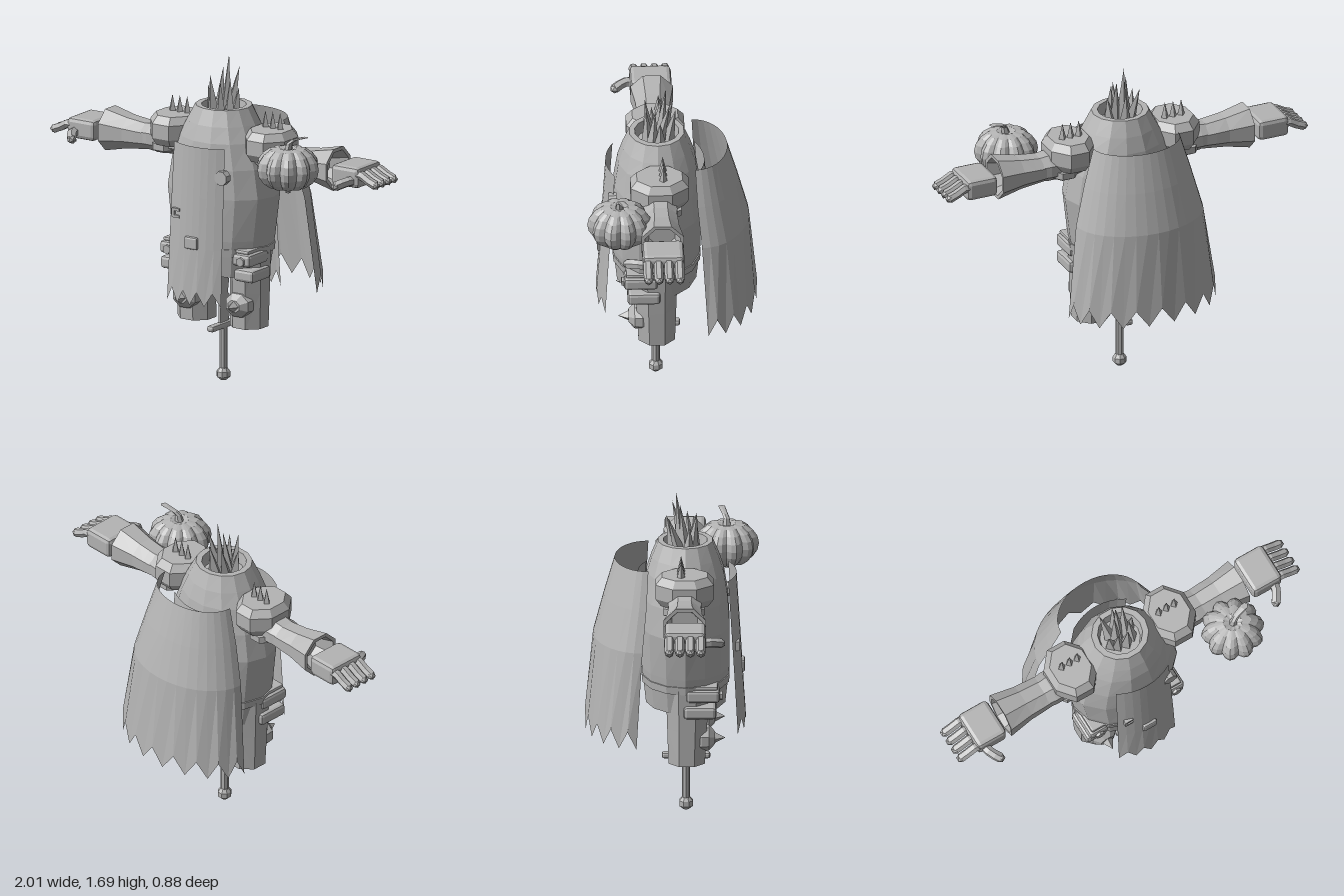
import * as THREE from 'three';
import { RoundedBoxGeometry } from 'three/addons/geometries/RoundedBoxGeometry.js';

const stone = new THREE.MeshStandardMaterial({ color: 0xb4b4b4, flatShading: true, side: THREE.DoubleSide });
stone.name = 'plain grey';

function add(parent, name, geometry, x = 0, y = 0, z = 0) {
  const mesh = new THREE.Mesh(geometry, stone);
  mesh.name = name;
  mesh.position.set(x, y, z);
  parent.add(mesh);
  return mesh;
}

// Loft of elliptical rings, rows = [y, rx, rz, cx, cz] from bottom to top, ends closed
function rings(rows, sides = 8) {
  const pos = [], index = [], k = 1 / Math.cos(Math.PI / sides);
  const first = rows[0], last = rows[rows.length - 1];
  const cap = r => [r[0], 0, 0, r[3], r[4]];
  const all = [cap(first), ...rows, cap(last)];
  all.forEach(([y, rx, rz, cx = 0, cz = 0], j) => {
    for (let i = 0; i < sides; i++) {
      const a = (i + 0.5) / sides * Math.PI * 2;
      pos.push(cx + rx * k * Math.sin(a), y, cz + rz * k * Math.cos(a));
      if (j === all.length - 1) continue;
      const p = j * sides + i, q = j * sides + (i + 1) % sides;
      index.push(p, q, q + sides, p, q + sides, p + sides);
    }
  });
  const g = new THREE.BufferGeometry();
  g.setAttribute('position', new THREE.Float32BufferAttribute(pos, 3));
  g.setIndex(index);
  g.computeVertexNormals();
  return g;
}

// The same loft laid along x
const ringsX = (rows, sides) => rings(rows, sides).rotateZ(-Math.PI / 2);

// Thin cloth: place(u, v) gives a point, u and v run 0..1
function cloth(place, nu, nv) {
  const g = new THREE.PlaneGeometry(1, 1, nu, nv), p = g.attributes.position;
  for (let i = 0; i < p.count; i++) {
    const col = i % (nu + 1);
    p.setXYZ(i, ...place(col / nu, Math.floor(i / (nu + 1)) / nv, col));
  }
  g.computeVertexNormals();
  return g;
}

// Spike from a base point to a tip
function spike(parent, name, base, tip, radius, sides = 4) {
  const a = new THREE.Vector3(...base), d = new THREE.Vector3(...tip).sub(a), len = d.length();
  const m = add(parent, name, new THREE.ConeGeometry(radius, len, sides).translate(0, len / 2, 0), ...base);
  m.quaternion.setFromUnitVectors(new THREE.Vector3(0, 1, 0), d.normalize());
}

// Squared finger bent along a list of points
function finger(parent, name, points, radius) {
  const curve = new THREE.CatmullRomCurve3(points.map(p => new THREE.Vector3(...p)));
  add(parent, name, new THREE.TubeGeometry(curve, 3, radius, 6));
  const end = points[points.length - 1];
  add(parent, name + 'Tip', new THREE.IcosahedronGeometry(radius * 0.95), end[0], end[1], end[2]);
}

// Everything that exists on both sides
function buildSide(name) {
  const s = new THREE.Group();
  s.name = name;
  // shoulder
  add(s, 'shoulderPad', rings([[1.2, 0.1, 0.12], [1.24, 0.122, 0.147], [1.315, 0.122, 0.147], [1.353, 0.095, 0.115]]), 0.29, 0, 0.063);
  add(s, 'lowerShoulderPlate', rings([[1.15, 0.06, 0.08], [1.165, 0.08, 0.105], [1.2, 0.08, 0.105]]), 0.335, 0, 0.06);
  for (const x of [0.24, 0.285, 0.33]) spike(s, 'shoulderSpike', [x, 1.345, 0.045], [x, 1.437, 0.045], 0.022);
  // arm and flared cuff with a hollow mouth
  add(s, 'upperArm', ringsX([[0.2, 0.07, 0.08], [0.42, 0.07, 0.085], [0.5, 0.06, 0.075]]), 0, 1.21, 0.063);
  add(s, 'cuff', ringsX([[0.42, 0.063, 0.08], [0.5, 0.072, 0.085], [0.57, 0.08, 0.088], [0.7, 0.108, 0.108],
    [0.7, 0.09, 0.09], [0.6, 0.06, 0.065]]), 0, 1.207, 0.063);
  // hand
  add(s, 'palm', new RoundedBoxGeometry(0.17, 0.108, 0.21, 1, 0.022), 0.81, 1.203, 0.065);
  for (let i = 0; i < 4; i++) {
    const z = -0.014 + i * 0.053;
    finger(s, 'finger', [[0.86, 1.218, z], [0.92, 1.213, z], [0.95, 1.19, z], [0.985, 1.178, z]], 0.024);
  }
  finger(s, 'thumb', [[0.85, 1.185, 0.16], [0.84, 1.185, 0.2], [0.81, 1.17, 0.245]], 0.026);
  // leg
  add(s, 'leg', rings([[0.31, 0.092, 0.092, 0.16, 0.073], [0.5, 0.094, 0.1, 0.165, 0.075], [0.72, 0.096, 0.11, 0.17, 0.078]]));
  // knee guard
  add(s, 'kneeGuard', rings([[0.1, 0.06, 0.055], [0.15, 0.072, 0.064], [0.185, 0.068, 0.06], [0.215, 0.035, 0.03]])
    .rotateX(Math.PI / 2), 0.162, 0.437, 0);
  spike(s, 'kneeSpike', [0.162, 0.437, 0.205], [0.162, 0.437, 0.268], 0.035);
  // thigh pouches
  add(s, 'upperPouch', new RoundedBoxGeometry(0.11, 0.065, 0.17, 1, 0.016), 0.222, 0.69, 0.155);
  add(s, 'pouchFlap', new RoundedBoxGeometry(0.095, 0.02, 0.15, 1, 0.008), 0.215, 0.732, 0.155);
  add(s, 'lowerPouch', new RoundedBoxGeometry(0.12, 0.065, 0.165, 1, 0.016), 0.225, 0.605, 0.14);
  add(s, 'pouchButton', new THREE.CylinderGeometry(0.024, 0.024, 0.02, 6).rotateX(Math.PI / 2), 0.225, 0.685, 0.243);
  return s;
}

export function createModel() {
  const model = new THREE.Group();
  model.name = 'figure';

  // robe body with an open collar
  add(model, 'body', rings([
    [0.59, 0.24, 0.2, 0, 0.068], [0.73, 0.262, 0.215, 0, 0.068], [0.78, 0.27, 0.22, 0, 0.068],
    [1.0, 0.298, 0.225, 0, 0.065], [1.15, 0.272, 0.215, 0, 0.066], [1.28, 0.225, 0.195, 0, 0.066],
    [1.36, 0.185, 0.17, 0, 0.066], [1.44, 0.143, 0.137, 0, 0.066], [1.44, 0.112, 0.11, 0, 0.066],
    [1.38, 0.1, 0.1, 0, 0.066]], 14));
  add(model, 'belt', rings([[0.7, 0.266, 0.218], [0.74, 0.27, 0.222]], 14), 0, 0, 0.068);

  // crown of jagged spikes, [base x, base z, tip x, tip y, tip z]
  for (const [x, z, tx, ty, tz] of [
    [0, 0.05, 0, 1.69, 0.02], [-0.03, 0.07, -0.02, 1.63, 0.04], [0.03, 0.06, 0.05, 1.63, 0.0],
    [-0.04, 0.04, -0.07, 1.58, -0.02], [0.05, 0.09, 0.045, 1.58, 0.075], [-0.035, 0.1, -0.045, 1.6, 0.125],
    [0.01, 0.11, 0.015, 1.57, 0.12], [0.06, 0.05, 0.08, 1.53, 0.05], [-0.06, 0.08, -0.08, 1.53, 0.09],
    [0, 0.01, 0.01, 1.57, -0.03]]) spike(model, 'crownSpike', [x, 1.38, z], [tx, ty, tz], 0.034);

  // cape: half ellipses widening downward, ragged hem
  const cape = [[1.35, 0.235, -0.29, -0.12], [1.16, 0.29, -0.345, -0.13], [0.95, 0.345, -0.4, -0.15], [0.5, 0.4, -0.44, -0.18]];
  add(model, 'cape', cloth((u, v, col) => {
    const row = Math.round(v * 3), [y, rx, back, front] = cape[row], a = Math.PI * u;
    const hem = row === 3 ? (col % 2 ? 0.045 : -0.045) : 0;
    return [rx * Math.cos(a), y + hem, front + (back - front) * Math.sin(a)];
  }, 18, 3));

  // front and back hanging panels with ragged hems
  const panel = (top, bottom, bow) => cloth((u, v, col) => {
    const x = u * 2 - 1, hem = v === 1 ? (col % 2 ? 0.035 : -0.035) : 0;
    return [x * (0.155 + 0.01 * v), 1.27 - 0.78 * v + hem, top + (bottom - top) * v - bow * x * x];
  }, 8, 3);
  add(model, 'frontPanel', panel(0.325, 0.373, 0.042));
  add(model, 'backPanel', panel(-0.175, -0.245, -0.045));

  // fittings on the front panel
  add(model, 'buckle', new RoundedBoxGeometry(0.08, 0.065, 0.025, 1, 0.01), 0, 0.775, 0.355);
  add(model, 'clasp', new THREE.CylinderGeometry(0.038, 0.038, 0.04, 8).rotateX(Math.PI / 2).rotateZ(Math.PI / 8), 0.15, 1.125, 0.295);
  for (const y of [0.895, 0.93]) add(model, 'hook', new THREE.BoxGeometry(0.045, 0.014, 0.02), -0.108, y, 0.33);
  add(model, 'hookBar', new THREE.BoxGeometry(0.014, 0.045, 0.02), -0.125, 0.912, 0.33);

  // both sides
  model.add(buildSide('leftSide'));
  const right = buildSide('rightSide');
  right.scale.x = -1;
  model.add(right);

  // ribbed pumpkin
  const pumpkin = new THREE.Group();
  pumpkin.name = 'pumpkin';
  pumpkin.position.set(0.537, 1.232, 0.275);
  const gourd = new THREE.SphereGeometry(1, 40, 10), p = gourd.attributes.position;
  for (let i = 0; i < p.count; i++) {
    const x = p.getX(i), y = p.getY(i), z = p.getZ(i);
    const rib = 0.84 + 0.16 * Math.abs(Math.sin(5 * Math.atan2(z, x)));
    const dip = 0.03 * Math.exp(-(x * x + z * z) * 12) * Math.sign(y);
    p.setXYZ(i, x * rib * 0.163, y * 0.121 - dip, z * rib * 0.163);
  }
  add(pumpkin, 'gourd', gourd);
  add(pumpkin, 'stem', rings([[0.08, 0.022, 0.022], [0.13, 0.014, 0.014, 0.01, 0], [0.148, 0.014, 0.014, 0.03, -0.01],
    [0.165, 0.016, 0.016, 0.085, -0.025]], 6));
  add(pumpkin, 'blossomEnd', new THREE.CylinderGeometry(0.02, 0.012, 0.04, 6), 0, -0.11, 0);
  model.add(pumpkin);

  // sword hanging point up between the legs
  const sword = new THREE.Group();
  sword.name = 'sword';
  sword.position.z = 0.07;
  add(sword, 'pommel', rings([[0, 0.014, 0.014], [0.018, 0.032, 0.034], [0.045, 0.032, 0.034], [0.066, 0.018, 0.018]]));
  add(sword, 'grip', new THREE.CylinderGeometry(0.021, 0.021, 0.22, 8), 0, 0.17, 0);
  add(sword, 'guard', new RoundedBoxGeometry(0.042, 0.033, 0.245, 1, 0.012), 0, 0.288, 0);
  const edge = new THREE.Shape([[-0.035, 0.3], [0.035, 0.3], [0.05, 0.36], [0.03, 0.37], [0.045, 0.44], [0.028, 0.45],
    [0.04, 0.52], [0.025, 0.53], [0, 0.62], [-0.035, 0.54]].map(q => new THREE.Vector2(...q)));
  add(sword, 'blade', new THREE.ExtrudeGeometry(edge, { depth: 0.014, bevelEnabled: false })
    .translate(0, 0, -0.007).rotateY(Math.PI / 2));
  model.add(sword);

  return model;
}
